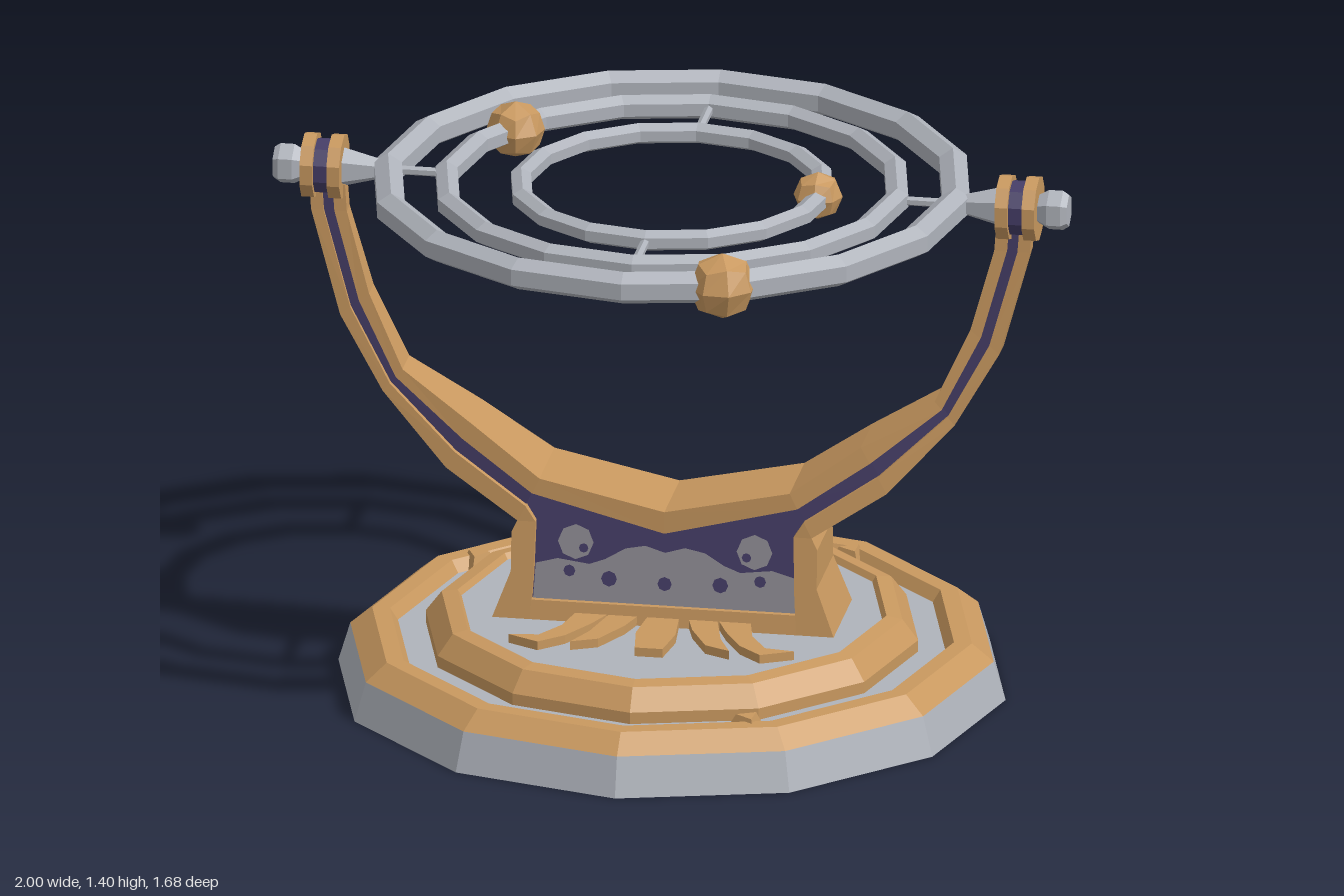
import * as THREE from 'three';

const mat = (name, color) => {
  const m = new THREE.MeshStandardMaterial({ color });
  m.name = name;
  m.flatShading = true;
  return m;
};

// Four-cornered loft through stations [ax, ay, az, bx, by, bz], symmetric front to back
function loft(stations) {
  const rings = stations.map(([ax, ay, az, bx, by, bz]) =>
    [[ax, ay, az], [bx, by, bz], [bx, by, -bz], [ax, ay, -az]].map(p => new THREE.Vector3(...p)));
  const tris = [];
  const quad = (a, b, c, d) => tris.push([a, b, c], [a, c, d]);
  for (let i = 0; i < rings.length - 1; i++) {
    for (let k = 0; k < 4; k++) {
      const n = (k + 1) % 4;
      quad(rings[i][k], rings[i][n], rings[i + 1][n], rings[i + 1][k]);
    }
  }
  quad(...[...rings[0]].reverse());
  quad(...rings[rings.length - 1]);
  // turn the faces outward
  const centre = rings[0][0].clone().add(rings[0][2]).multiplyScalar(0.5);
  const rel = v => v.clone().sub(centre);
  const volume = tris.reduce((s, [a, b, c]) => s + rel(a).dot(rel(b).cross(rel(c))), 0);
  const pts = tris.flatMap(([a, b, c]) => (volume < 0 ? [a, c, b] : [a, b, c]));
  const g = new THREE.BufferGeometry().setFromPoints(pts);
  g.computeVertexNormals();
  return g;
}

const lathe = (profile, sides) =>
  new THREE.LatheGeometry(profile.map(p => new THREE.Vector2(...p)), sides);

// Cylinder lying along x, from x0 to x1
function axle(x0, x1, r0, r1, sides) {
  const g = new THREE.CylinderGeometry(r1, r0, x1 - x0, sides);
  return g.rotateY(Math.PI / sides).rotateZ(-Math.PI / 2).translate((x0 + x1) / 2, 0, 0);
}

export function createModel() {
  const model = new THREE.Group();
  const gold = mat('gold', 0xc8985f);
  const steel = mat('steel', 0xafb3bb);
  const purple = mat('purple', 0x453d66);
  const stone = mat('stoneGrey', 0x8f8c94);
  const add = (name, geometry, material, parent = model) => {
    const m = new THREE.Mesh(geometry, material);
    m.name = name;
    parent.add(m);
    return m;
  };

  // Stepped twelve-sided base
  add('baseFoot', lathe([[0, 0], [0.84, 0], [0.81, 0.1]], 12), steel);
  add('baseOuterRim', lathe([[0.81, 0.1], [0.755, 0.145], [0.71, 0.145], [0.69, 0.115]], 12), gold);
  add('baseGroove', lathe([[0.69, 0.115], [0.62, 0.115]], 12), steel);
  add('baseInnerRim', lathe([[0.62, 0.115], [0.62, 0.145], [0.58, 0.198], [0.54, 0.205], [0.53, 0.19]], 12), gold);
  add('baseDisc', lathe([[0.53, 0.19], [0, 0.19]], 12), steel);

  // Broken wedges lodged in the groove
  for (const angle of [0.45, 2.6, 4.1]) {
    const wedge = add('grooveWedge', new THREE.CylinderGeometry(0.03, 0.06, 0.05, 3), gold);
    wedge.position.set(0.68 * Math.sin(angle), 0.13, 0.68 * Math.cos(angle));
    wedge.rotation.y = angle;
  }

  // Sun rays on the disc
  const straightRay = [[-0.035, 0.08], [-0.05, 0.24], [-0.035, 0.345], [0.035, 0.345], [0.05, 0.24], [0.035, 0.08]];
  const bentRay = [[0.05, 0.08], [0.085, 0.2], [0.135, 0.3], [0.2, 0.33], [0.165, 0.25], [0.13, 0.1]];
  const hookRay = [[0.12, 0.08], [0.17, 0.2], [0.22, 0.29], [0.28, 0.345], [0.36, 0.305], [0.285, 0.295], [0.24, 0.22], [0.21, 0.08]];
  const addRay = (points, sx, sz) => {
    const shape = new THREE.Shape(points.map(([x, z]) => new THREE.Vector2(x * sx, -z * sz)));
    const g = new THREE.ExtrudeGeometry(shape, { depth: 0.025, bevelEnabled: false });
    add('sunRay', g.rotateX(-Math.PI / 2).translate(0, 0.188, 0), gold);
  };
  for (const sz of [1, -1]) {
    addRay(straightRay, 1, sz);
    for (const sx of [1, -1]) {
      addRay(bentRay, sx, sz);
      addRay(hookRay, sx, sz);
    }
  }

  // Curved arms: outer x, y, inner x, y, half depth
  const arm = [
    [0.91, 1.27, 0.82, 1.27, 0.02],
    [0.905, 1.2, 0.815, 1.2, 0.022],
    [0.83, 0.93, 0.757, 0.99, 0.034],
    [0.72, 0.74, 0.67, 0.8, 0.05],
    [0.555, 0.56, 0.49, 0.68, 0.085],
    [0.37, 0.44, 0.315, 0.555, 0.11],
  ];
  // Lengthwise strip of the arm between two fractions of its width
  const strip = (s, f0, f1, inset) => arm.map(([ox, oy, ix, iy, d]) => {
    const at = f => [s * (ox + (ix - ox) * f), oy + (iy - oy) * f, d - Math.min(inset, d * 0.3)];
    return [...at(f0), ...at(f1)];
  });
  for (const s of [1, -1]) {
    add('armInlay', loft(strip(s, 0.3, 0.7, 0.015)), purple);
    add('armOuterBand', loft([
      ...strip(s, 0, 0.35, 0),
      [s * 0.385, 0.41, 0.113, s * 0.325, 0.44, 0.11],
      [s * 0.385, 0.31, 0.123, s * 0.328, 0.31, 0.123],
      [s * 0.43, 0.19, 0.135, s * 0.335, 0.19, 0.135],
    ]), gold);
  }
  const left = strip(1, 0.65, 1, 0);
  const right = strip(-1, 0.65, 1, 0).reverse();
  add('archInnerBand', loft([...left, [0, 0.43, 0.113, 0, 0.487, 0.113], ...right]), gold);

  // Pedestal panel between the feet
  const panelZ = y => 0.112 - (y - 0.24) * 0.1;
  const panelStation = (x, top) => [x, 0.2, panelZ(0.2), x, top, panelZ(top)];
  add('pedestalPanel', loft([panelStation(-0.355, 0.52), panelStation(0, 0.45), panelStation(0.355, 0.52)]), purple);
  add('pedestalSill', loft([-0.36, 0.36].map(x => [x, 0.19, 0.135, x, 0.24, 0.129])), gold);

  // Scrollwork plates on both panel faces
  const outline = [[-0.33, 0.24], [0.33, 0.24], [0.325, 0.33], [0.27, 0.345], [0.19, 0.335], [0.15, 0.35],
    [0.1, 0.38], [0.05, 0.39], [0, 0.375], [-0.05, 0.39], [-0.1, 0.38], [-0.15, 0.35], [-0.19, 0.335], [-0.27, 0.345], [-0.325, 0.33]];
  const scroll = new THREE.Shape(outline.map(p => new THREE.Vector2(...p)));
  for (const [x, y, r] of [[0, 0.295, 0.018], [0.14, 0.3, 0.02], [-0.14, 0.3, 0.02], [0.24, 0.315, 0.015], [-0.24, 0.315, 0.015]]) {
    scroll.holes.push(new THREE.Path().absarc(x, y, r, 0, Math.PI * 2, true));
  }
  const curls = [-1, 1].map(s => {
    const c = new THREE.Shape().absarc(s * 0.225, 0.39, 0.045, 0, Math.PI * 2, false);
    c.holes.push(new THREE.Path().absarc(s * 0.205, 0.375, 0.012, 0, Math.PI * 2, true));
    return c;
  });
  [scroll, ...curls].forEach((shape, i) => {
    const g = new THREE.ShapeGeometry(shape, 4);
    const p = g.attributes.position;
    for (let k = 0; k < p.count; k++) p.setZ(k, panelZ(p.getY(k)) + 0.003 + i * 0.0005);
    g.computeVertexNormals();
    for (const turn of [0, Math.PI]) add('panelScroll', g, stone).rotation.y = turn;
  });

  // Ring assembly
  const rings = new THREE.Group();
  rings.name = 'ringAssembly';
  rings.position.y = 1.31;
  model.add(rings);
  const ringProfile = (r0, r1, h) => {
    const m = (r0 + r1) / 2;
    return [[m, -h], [r1, -h * 0.5], [r1, h * 0.5], [m, h], [r0, h * 0.5], [r0, -h * 0.5], [m, -h]];
  };
  add('outerRing', lathe(ringProfile(0.68, 0.75, 0.042), 16), steel, rings);
  add('middleRing', lathe(ringProfile(0.54, 0.595, 0.032), 16), steel, rings);
  add('innerRing', lathe(ringProfile(0.355, 0.405, 0.027), 16), steel, rings);

  // Pivots and spokes, repeated on opposite sides
  for (const turn of [0, Math.PI]) {
    const pivot = new THREE.Group();
    pivot.name = 'pivot';
    pivot.rotation.y = turn;
    rings.add(pivot);
    add('pivotCone', axle(0.73, 0.83, 0.025, 0.052, 6), steel, pivot);
    add('hubInnerDisc', axle(0.825, 0.857, 0.083, 0.083, 10), gold, pivot);
    add('hubCore', axle(0.85, 0.9, 0.07, 0.07, 10), purple, pivot);
    add('hubOuterDisc', axle(0.893, 0.925, 0.083, 0.083, 10), gold, pivot);
    add('boltNeck', axle(0.92, 0.95, 0.035, 0.052, 6), steel, pivot);
    add('boltHead', axle(0.95, 0.985, 0.052, 0.052, 6), steel, pivot);
    add('boltTip', axle(0.985, 1, 0.052, 0.042, 6), steel, pivot);
    add('outerSpoke', axle(0.58, 0.69, 0.012, 0.012, 6), steel, pivot);
    add('innerSpoke', axle(0.395, 0.55, 0.012, 0.012, 6).rotateY(Math.PI / 2), steel, pivot);
  }

  // Faceted orbs threaded on the rings
  for (const [x, z, r, turn] of [[0.24, 0.66, 0.086, 0.35], [-0.45, -0.33, 0.073, 0.95], [0.368, 0, 0.062, 0]]) {
    const g = new THREE.BoxGeometry(2, 2, 2, 2, 2, 2);
    const p = g.attributes.position;
    const v = new THREE.Vector3();
    for (let k = 0; k < p.count; k++) {
      v.fromBufferAttribute(p, k).normalize().multiplyScalar(r);
      p.setXYZ(k, v.x, v.y, v.z);
    }
    g.computeVertexNormals();
    const orb = add('orb', g, gold, rings);
    orb.position.set(x, 0, z);
    orb.rotation.y = turn;
  }
  return model;
}
